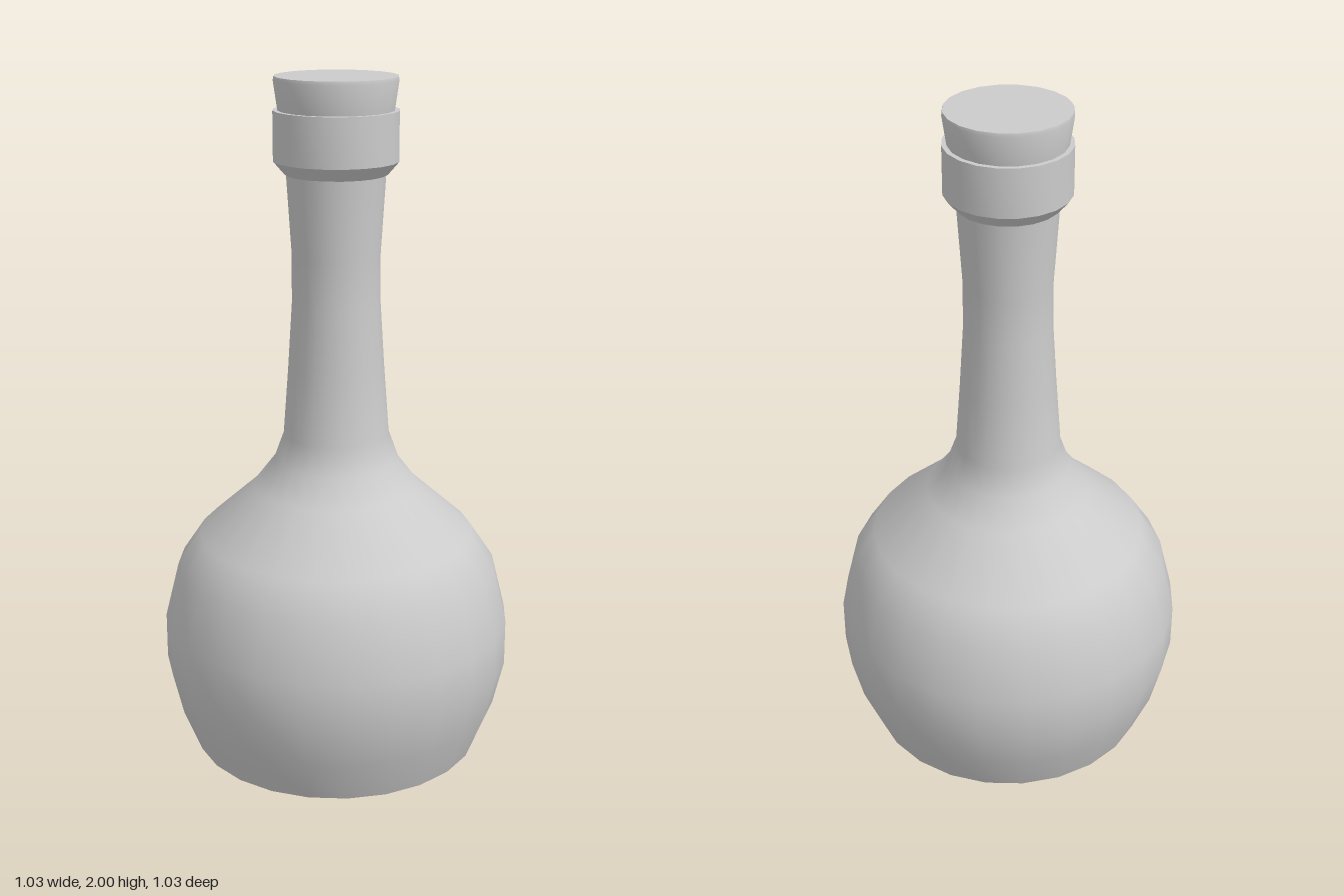
import * as THREE from 'three';
import { toCreasedNormals } from 'three/addons/utils/BufferGeometryUtils.js';

const material = new THREE.MeshStandardMaterial({ color: 0xcccccc });

// Turned part from [radius, height] points, listed bottom to top
function turned(name, points, sides, crease) {
  const profile = points.map(([r, y]) => new THREE.Vector2(r, y));
  let geometry = new THREE.LatheGeometry(profile, sides);
  if (crease) geometry = toCreasedNormals(geometry, crease);
  const mesh = new THREE.Mesh(geometry, material);
  mesh.name = name;
  return mesh;
}

export function createModel() {
  const bottle = new THREE.Group();
  bottle.name = 'bottle';

  // Round belly flowing into a slim, slightly waisted neck
  bottle.add(turned('bellyAndNeck', [
    [0.432, 0], [0.484, 0.13], [0.516, 0.265], [0.516, 0.4], [0.475, 0.565],
    [0.408, 0.665], [0.245, 0.81], [0.184, 0.89], [0.155, 0.97], [0.14, 1.17],
    [0.128, 1.36], [0.127, 1.5], [0.142, 1.74],
  ], 24));

  // Flat underside
  const base = new THREE.Mesh(new THREE.CircleGeometry(0.432, 24), material);
  base.name = 'base';
  base.rotation.x = Math.PI / 2;
  bottle.add(base);

  // Collar with a bevelled lower edge and a flat top ledge
  bottle.add(turned('collar', [
    [0.135, 1.73], [0.146, 1.73], [0.178, 1.767], [0.178, 1.907], [0.155, 1.907],
  ], 20, 0.5));

  // Tapered stopper seated in the collar
  bottle.add(turned('stopper', [
    [0.163, 1.9], [0.176, 1.99], [0.174, 2], [0, 2],
  ], 20, 0.6));

  return bottle;
}
